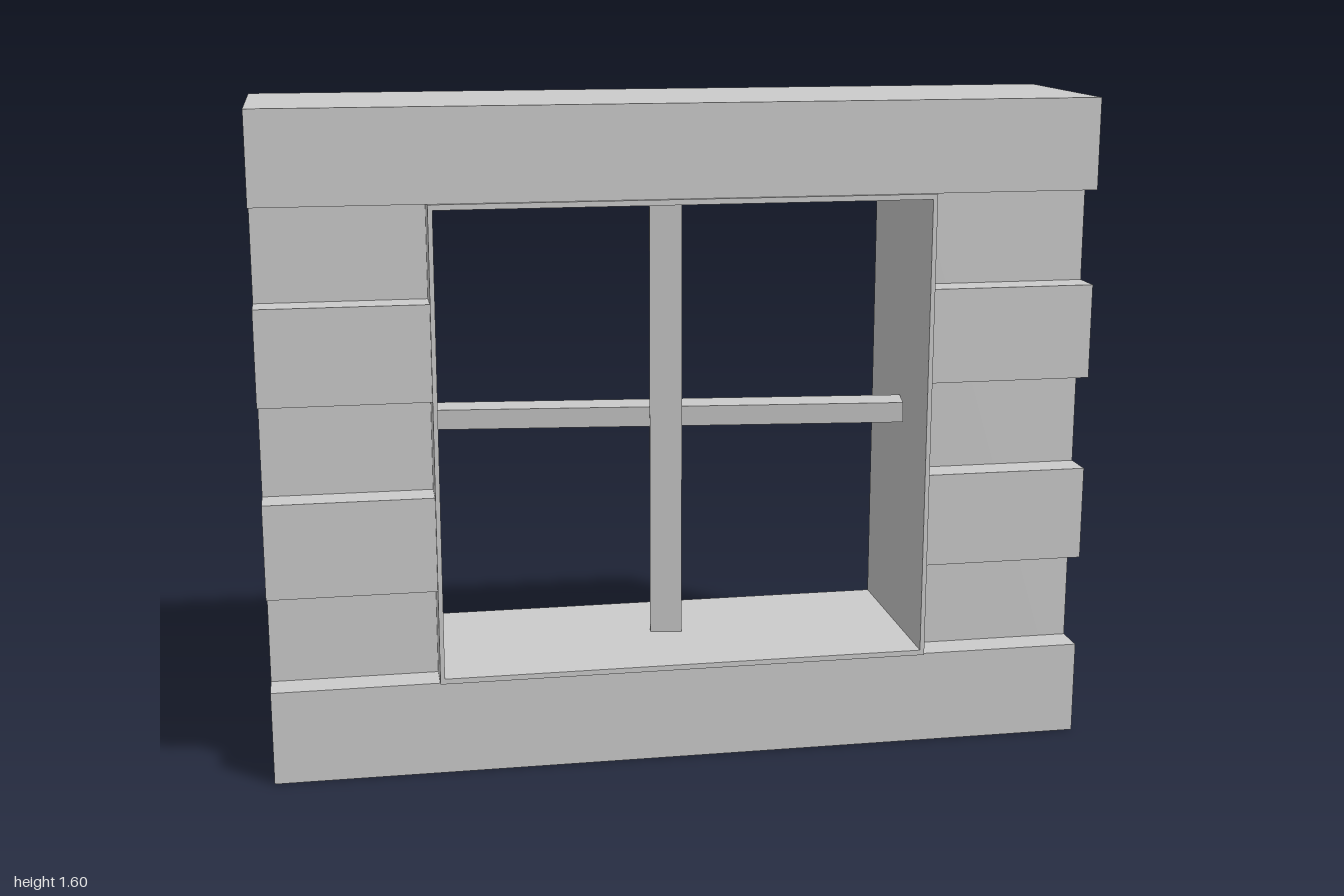
import * as THREE from 'three';

const BACK = -0.245, RECESS = 0.155, FRONT = 0.235, LINER = 0.245;
const COURSE = 0.23, TOP = 1.6;

const material = new THREE.MeshStandardMaterial({ color: 0xcccccc, flatShading: true });

function addMesh(parent, name, geometry) {
  const mesh = new THREE.Mesh(geometry, material);
  mesh.name = name;
  parent.add(mesh);
  return mesh;
}

// Box given by its minimum and maximum corners
function addBox(parent, name, [x0, y0, z0], [x1, y1, z1]) {
  const mesh = addMesh(parent, name, new THREE.BoxGeometry(x1 - x0, y1 - y0, z1 - z0));
  mesh.position.set((x0 + x1) / 2, (y0 + y1) / 2, (z0 + z1) / 2);
  return mesh;
}

// Upright rectangular ring, extruded from z0 to z1
function ringGeometry(outer, inner, z0, z1) {
  const corners = ([hw, y0, y1]) => [[-hw, y0], [hw, y0], [hw, y1], [-hw, y1]]
    .map(([x, y]) => new THREE.Vector2(x, y));
  const shape = new THREE.Shape(corners(outer));
  shape.holes.push(new THREE.Path(corners(inner)));
  return new THREE.ExtrudeGeometry(shape, { depth: z1 - z0, bevelEnabled: false }).translate(0, 0, z0);
}

export function createModel() {
  const model = new THREE.Group();
  model.name = 'windowWall';

  // Wall core with the window opening: [half width, bottom, top]
  const opening = [0.589, 0.243, 1.367];
  addMesh(model, 'wallCore', ringGeometry([1, 0, TOP], opening, BACK, RECESS));

  // Thin liner standing slightly proud of the wall face
  addMesh(model, 'windowLiner', ringGeometry([0.6, COURSE, 6 * COURSE], opening, RECESS, LINER));

  // Full-width raised courses above and below the opening
  addBox(model, 'sillCourse', [-1, 0, RECESS], [1, COURSE, FRONT]);
  addBox(model, 'lintelCourse', [-1, 6 * COURSE, RECESS], [1, TOP, FRONT]);

  // Raised courses beside the opening, alternating with recessed ones
  for (const row of [2, 4]) {
    const y0 = row * COURSE, y1 = y0 + COURSE;
    addBox(model, 'leftCourse', [0.6, y0, RECESS], [1, y1, FRONT]);
    addBox(model, 'rightCourse', [-1, y0, RECESS], [-0.6, y1, FRONT]);
  }

  // Slightly crooked cross bars inside the opening
  const mullion = addMesh(model, 'verticalBar', new THREE.BoxGeometry(0.08, 1.124, 0.09));
  mullion.position.set(-0.003, 0.805, -0.047);
  mullion.rotation.y = -0.16;

  const transom = addMesh(model, 'horizontalBar', new THREE.BoxGeometry(1.18, 0.05, 0.09));
  transom.position.set(0, 0.807, -0.052);
  transom.rotation.set(0, -0.19, 0.021);

  return model;
}
